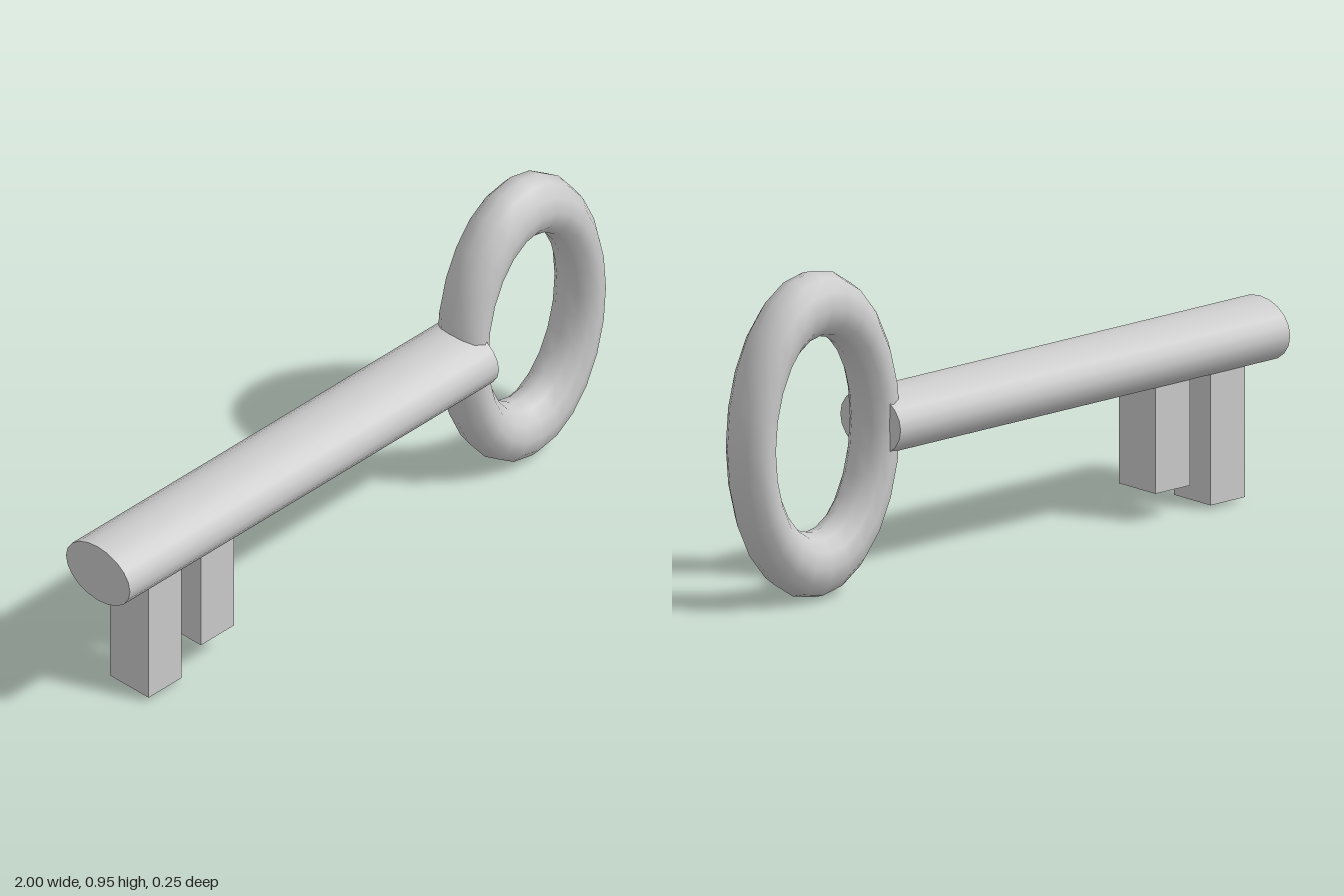
import * as THREE from 'three';

export function createModel() {
  const group = new THREE.Group();
  const material = new THREE.MeshStandardMaterial({ color: 0xcccccc });

  function add(name, geometry, x, y, z) {
    const mesh = new THREE.Mesh(geometry, material);
    mesh.name = name;
    mesh.position.set(x, y, z);
    group.add(mesh);
    return mesh;
  }

  // Oval ring handle: a torus squeezed sideways
  const ring = add('ringHandle', new THREE.TorusGeometry(0.381, 0.095, 12, 24), 0.704, 0.477, -0.002);
  ring.scale.set(0.62, 1, 0.88);

  // Flattened round shaft lying along x, with flat ends
  const shaftGeometry = new THREE.CylinderGeometry(1, 1, 1.483, 20);
  shaftGeometry.rotateZ(Math.PI / 2);
  shaftGeometry.scale(1, 0.093, 0.126);
  add('shaft', shaftGeometry, -0.2585, 0.47, 0);

  // Two teeth hanging from the shaft, the outer one longer
  const top = 0.45;
  const teeth = [
    ['outerTooth', -0.81, 0.013],
    ['innerTooth', -0.60, 0.086],
  ];
  for (const [name, x, bottom] of teeth) {
    add(name, new THREE.BoxGeometry(0.132, top - bottom, 0.152), x, (top + bottom) / 2, 0.002);
  }

  return group;
}
